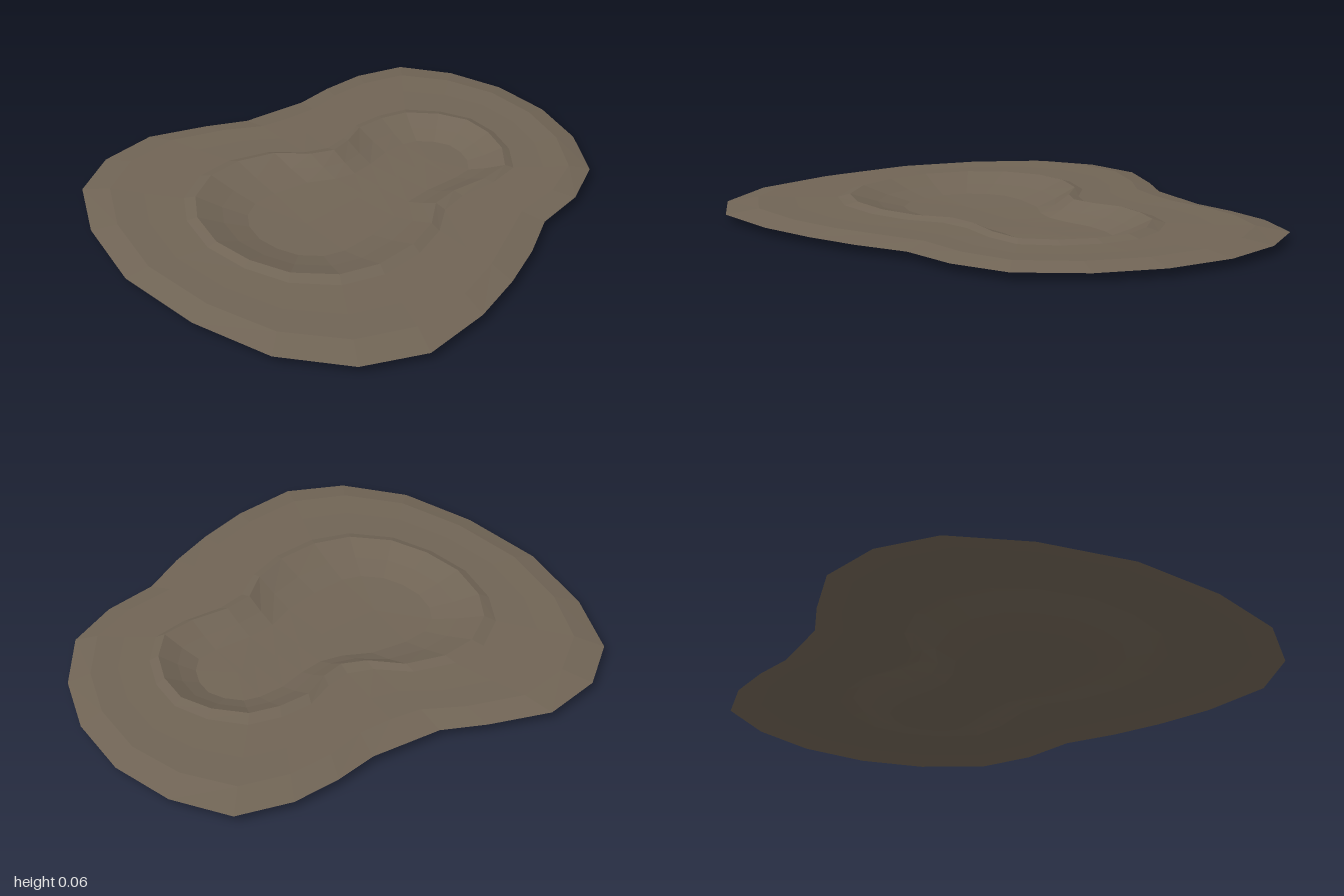
import * as THREE from 'three';

// Plan outlines as [x, z], clockwise from the back; the two loops correspond point for point
const OUTER = [
  [-0.13, -1], [0.12, -0.94], [0.35, -0.81], [0.47, -0.62], [0.53, -0.41], [0.65, -0.24], [0.75, -0.06],
  [0.84, 0.15], [0.9, 0.42], [0.82, 0.65], [0.61, 0.84], [0.3, 0.95], [-0.06, 1], [-0.41, 0.95],
  [-0.69, 0.84], [-0.84, 0.66], [-0.9, 0.43], [-0.84, 0.2], [-0.78, 0.04], [-0.78, -0.09], [-0.78, -0.23],
  [-0.82, -0.39], [-0.84, -0.57], [-0.8, -0.77], [-0.62, -0.91], [-0.39, -0.99],
];
const RIM = [
  [-0.07, -0.65], [0.06, -0.61], [0.17, -0.53], [0.2, -0.4], [0.2, -0.25], [0.23, -0.14], [0.33, -0.04],
  [0.4, 0.1], [0.43, 0.27], [0.4, 0.42], [0.29, 0.55], [0.14, 0.62], [-0.03, 0.65], [-0.21, 0.62],
  [-0.34, 0.55], [-0.44, 0.42], [-0.47, 0.28], [-0.44, 0.13], [-0.35, 0.02], [-0.32, -0.07], [-0.35, -0.16],
  [-0.41, -0.26], [-0.42, -0.38], [-0.4, -0.49], [-0.31, -0.59], [-0.2, -0.65],
];

// Spine of the basin, from the small back lobe to the large front lobe
const BACK = new THREE.Vector3(-0.11, 0.008, -0.38);
const FRONT = new THREE.Vector3(-0.02, 0, 0.27);
const spine = new THREE.Line3(BACK, FRONT);

// Ring of the bank: t = 0 at the outer edge, 1 at the rim
const bankRing = (t, y) => OUTER.map(([x, z], i) => new THREE.Vector3(
  THREE.MathUtils.lerp(x, RIM[i][0], t), y, THREE.MathUtils.lerp(z, RIM[i][1], t)));

// Ring of the basin: the rim shrunk towards the spine
const basinRing = (s, y) => RIM.map(([x, z]) => {
  const p = new THREE.Vector3(x, 0, z);
  const q = spine.closestPointToPoint(p, true, new THREE.Vector3());
  const r = q.clone().lerp(p, s);
  if (s > 0) r.y = y;
  return r;
});

// Joins successive rings with upward-facing triangles, skipping collapsed ones
function loft(name, rings, material) {
  const positions = [];
  const tri = (a, b, c) => {
    if (new THREE.Triangle(a, b, c).getArea() < 1e-7) return;
    for (const p of [a, b, c]) positions.push(p.x, p.y, p.z);
  };
  for (let k = 0; k < rings.length - 1; k++) {
    const a = rings[k], b = rings[k + 1];
    for (let i = 0; i < a.length; i++) {
      const j = (i + 1) % a.length;
      tri(a[i], b[i], a[j]);
      tri(a[j], b[i], b[j]);
    }
  }
  const geometry = new THREE.BufferGeometry();
  geometry.setAttribute('position', new THREE.Float32BufferAttribute(positions, 3));
  geometry.computeVertexNormals();
  const mesh = new THREE.Mesh(geometry, material);
  mesh.name = name;
  return mesh;
}

export function createModel() {
  const earth = new THREE.MeshStandardMaterial({ color: 0x706455, side: THREE.DoubleSide, flatShading: true });
  earth.name = 'earth';

  const group = new THREE.Group();
  group.name = 'pondBed';
  // Sloping outer edge and flat bank
  group.add(loft('bank', [bankRing(0, 0.03), bankRing(0.25, 0.05), bankRing(0.55, 0.048), bankRing(0.9, 0.05)], earth));
  // Raised lip around the basin
  group.add(loft('rim', [bankRing(0.9, 0.05), bankRing(1, 0.063)], earth));
  // Sunken two-lobed basin
  group.add(loft('basin', [basinRing(1, 0.063), basinRing(0.76, 0.03), basinRing(0.53, 0.006), basinRing(0, 0)], earth));
  return group;
}
